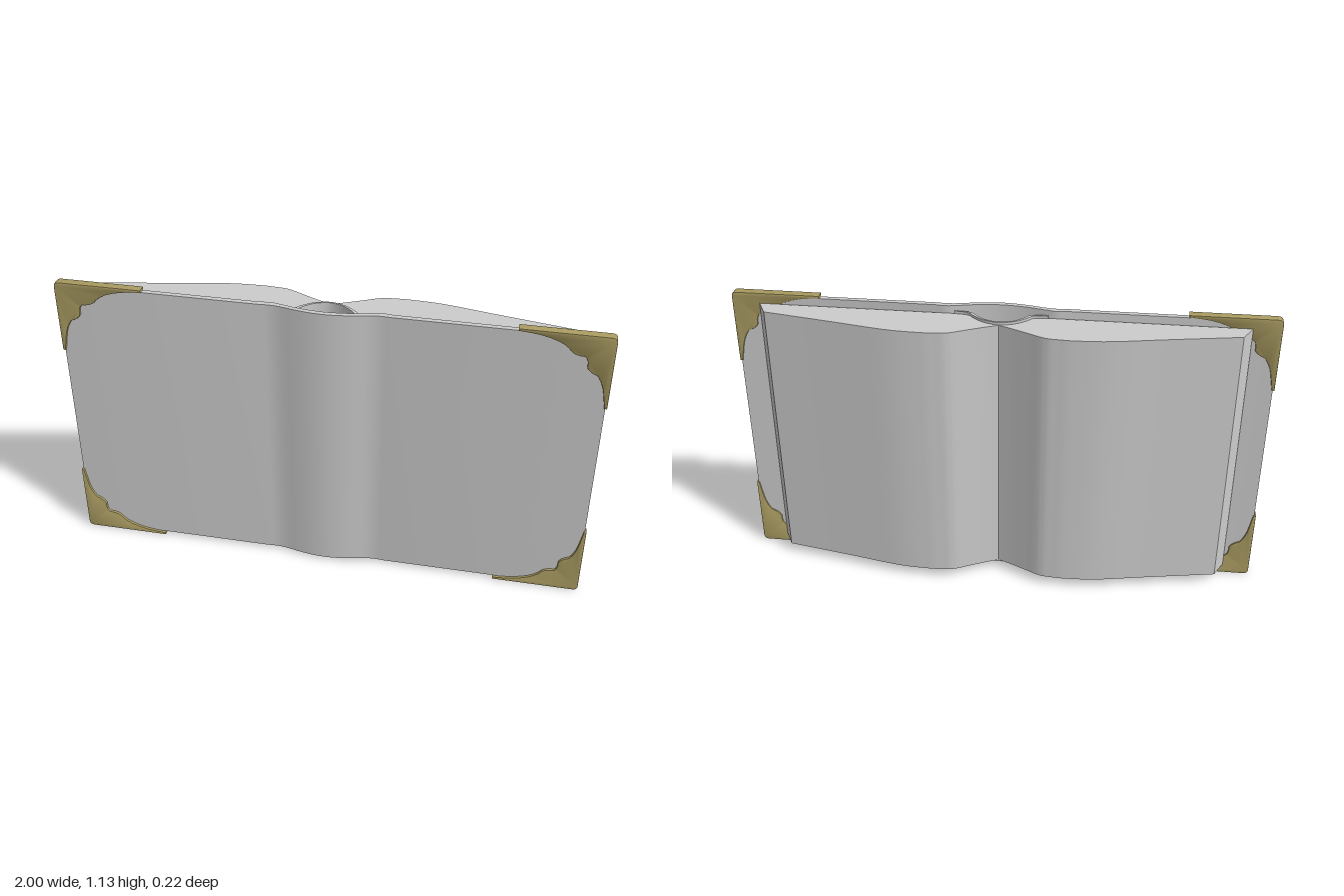
import * as THREE from 'three';
import { toCreasedNormals } from 'three/addons/utils/BufferGeometryUtils.js';

const v = (p) => new THREE.Vector2(p[0], p[1]);
const spline = (pts, n) => new THREE.SplineCurve(pts.map(v)).getPoints(n);

// Extrude an (x, z) outline upward from y0 to y1
function upright(outline, y0, y1, crease = 0.6) {
  const shape = new THREE.Shape(outline.map((p) => new THREE.Vector2(p.x, -p.y)));
  const geo = new THREE.ExtrudeGeometry(shape, { depth: y1 - y0, bevelEnabled: false });
  geo.rotateX(-Math.PI / 2).translate(0, y0, 0);
  return toCreasedNormals(geo, crease);
}

// Half profile reflected across x = 0, running from -x to +x
function mirrored(half) {
  return [...half.map(([x, z]) => [-x, z]), ...half.slice(0, -1).reverse()];
}

export function createModel() {
  const book = new THREE.Group();
  book.name = 'openBook';
  const grey = new THREE.MeshStandardMaterial({ color: 0xcccccc });
  grey.name = 'paper grey';
  const brass = new THREE.MeshStandardMaterial({ color: 0xaa9c62 });
  brass.name = 'dull brass';

  const add = (name, geo, mat, parent = book) => {
    const mesh = new THREE.Mesh(geo, mat);
    mesh.name = name;
    parent.add(mesh);
    return mesh;
  };

  // Cover boards joined by a bowed spine
  const outer = [[0.24, 0.083], [0.2, 0.081], [0.16, 0.085], [0.1, 0.098], [0.05, 0.106], [0, 0.109]];
  const inner = [[0.24, 0.063], [0.2, 0.059], [0.16, 0.066], [0.1, 0.08], [0.05, 0.087], [0, 0.09]];
  const cover = [
    v([-0.994, 0.063]), v([-0.994, 0.083]),
    ...spline(mirrored(outer), 40),
    v([0.994, 0.083]), v([0.994, 0.063]),
    ...spline(mirrored(inner), 40).reverse(),
  ];
  add('cover', upright(cover, 0.012, 1.118), grey);

  // Two page blocks arching away from the cover and meeting in the gutter
  const leaves = spline([[0, -0.02], [0.05, -0.042], [0.11, -0.071], [0.17, -0.1], [0.22, -0.107],
    [0.28, -0.109], [0.4, -0.1], [0.6, -0.061], [0.86, -0.012]], 48);
  const hollow = spline([[0.14, 0.057], [0.105, 0.045], [0.085, 0.02], [0.05, -0.004], [0, -0.016]], 16);
  const block = [...leaves, v([0.896, 0.057]), ...hollow];
  const blockGeo = upright(block, 0.04, 1.09);
  for (const side of [1, -1]) {
    const mesh = add(side > 0 ? 'leftPages' : 'rightPages', blockGeo, grey);
    mesh.scale.x = side;
  }

  // Binding strip lining the hollow behind the gutter, slightly taller than the pages
  const archTop = [[0.17, 0.056], [0.12, 0.05], [0.095, 0.026], [0.055, -0.003], [0, -0.018]];
  const archLow = [[0.17, 0.061], [0.11, 0.055], [0.085, 0.031], [0.05, 0.003], [0, -0.011]];
  const strip = [...spline(mirrored(archTop), 32), ...spline(mirrored(archLow), 32).reverse()];
  add('bindingStrip', upright(strip, 0.03, 1.1), grey);

  // Scalloped metal guards, measured from each outer corner
  const guard = new THREE.Shape();
  guard.moveTo(0.02, 0);
  guard.lineTo(0.33, 0);
  guard.lineTo(0.33, 0.01);
  guard.quadraticCurveTo(0.2, 0.016, 0.155, 0.06);
  guard.quadraticCurveTo(0.14, 0.085, 0.1, 0.085);
  guard.quadraticCurveTo(0.085, 0.095, 0.088, 0.125);
  guard.quadraticCurveTo(0.08, 0.145, 0.05, 0.155);
  guard.quadraticCurveTo(0.03, 0.18, 0.022, 0.22);
  guard.lineTo(0.01, 0.285);
  guard.lineTo(0, 0.285);
  guard.lineTo(0, 0.02);
  guard.quadraticCurveTo(0, 0, 0.02, 0);
  const bevel = 0.004;
  const guardGeo = toCreasedNormals(new THREE.ExtrudeGeometry(guard, {
    depth: 0.0355 - 2 * bevel, curveSegments: 6,
    bevelThickness: bevel, bevelSize: bevel, bevelOffset: -bevel, bevelSegments: 2,
  }), 0.7);
  const guards = new THREE.Group();
  guards.name = 'cornerGuards';
  book.add(guards);
  for (const sx of [1, -1]) {
    for (const sy of [1, -1]) {
      const name = (sy > 0 ? 'lower' : 'upper') + (sx > 0 ? 'Right' : 'Left') + 'Guard';
      const mesh = add(name, guardGeo, brass, guards);
      mesh.scale.set(sx, sy, 1);
      mesh.position.set(-sx, sy > 0 ? 0 : 1.13, 0.057 + bevel);
    }
  }
  return book;
}
